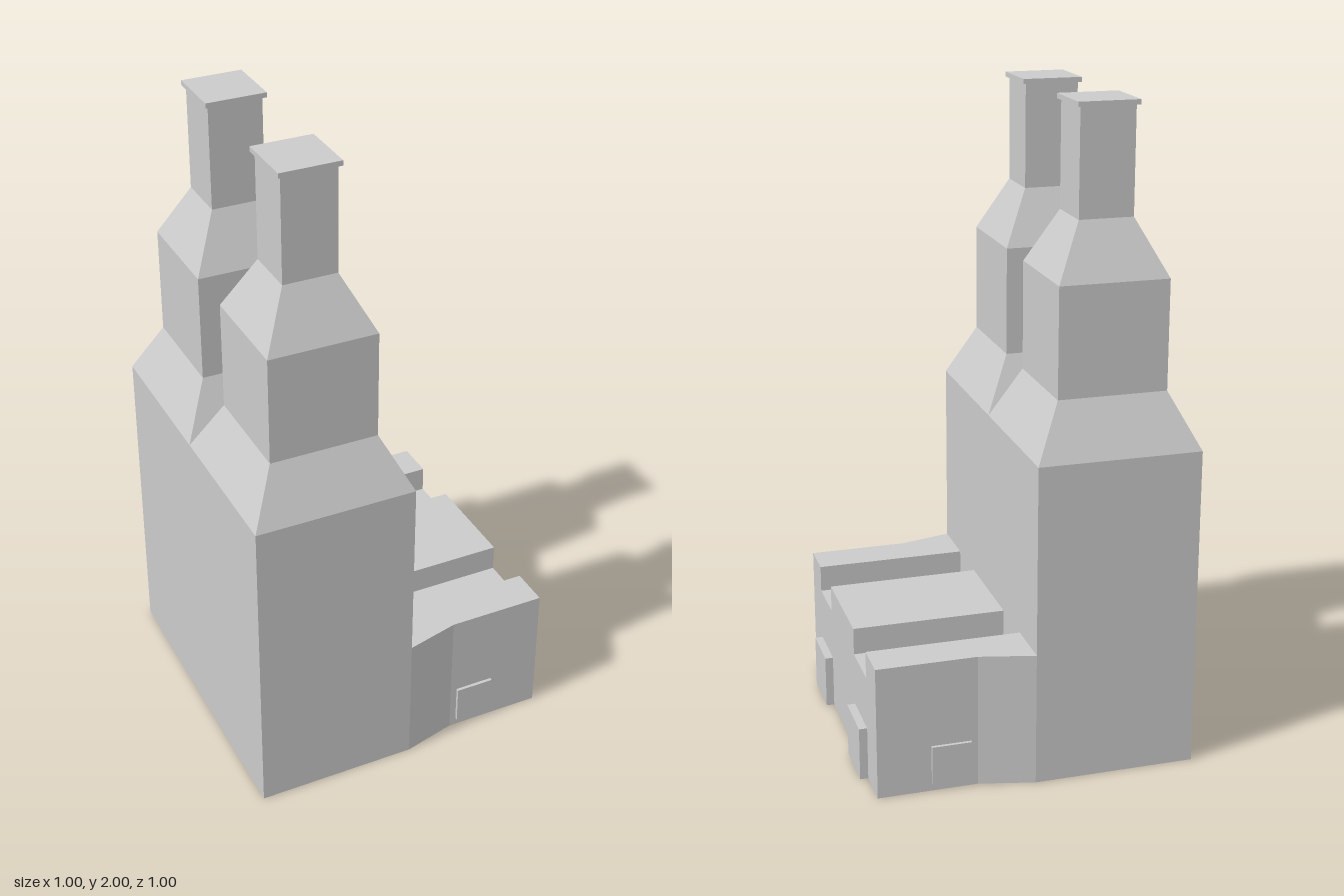
import * as THREE from 'three';

const material = new THREE.MeshStandardMaterial({ color: 0xcccccc, flatShading: true });

function add(parent, name, geometry, x = 0, y = 0, z = 0) {
  const mesh = new THREE.Mesh(geometry, material);
  mesh.name = name;
  mesh.position.set(x, y, z);
  parent.add(mesh);
  return mesh;
}

// Box given by its minimum and maximum corners
function addBox(parent, name, [x0, y0, z0], [x1, y1, z1]) {
  return add(parent, name, new THREE.BoxGeometry(x1 - x0, y1 - y0, z1 - z0),
    (x0 + x1) / 2, (y0 + y1) / 2, (z0 + z1) / 2);
}

// Square stepped shaft from [half width, height] pairs
function squareShaft(profile) {
  const points = profile.map(([half, y]) => new THREE.Vector2(half * Math.SQRT2, y));
  const geometry = new THREE.LatheGeometry(points, 4, Math.PI / 4).toNonIndexed();
  geometry.computeVertexNormals();
  return geometry;
}

// Annex: grooved roof section run along x, flaring out where it meets the towers
function annexGeometry() {
  const w = 0.458, top = 0.417, low = 0.333, g0 = 0.167, g1 = 0.333;
  const half = [[w, 0], [w, top], [g1, top], [g1, low], [g0, low], [g0, top]];
  const mirrored = half.map(([z, y]) => [-z, y]).reverse();
  const section = new THREE.Shape([...half, ...mirrored].map(([z, y]) => new THREE.Vector2(z, y)));
  const length = 0.475;
  const geometry = new THREE.ExtrudeGeometry(section, { depth: length, steps: 2, bevelEnabled: false });
  geometry.rotateY(Math.PI / 2);
  const p = geometry.attributes.position;
  for (let i = 0; i < p.count; i++) {
    const x = p.getX(i), z = p.getZ(i);
    if (x < 0.01 && Math.abs(z) > 0.4) p.setZ(i, Math.sign(z) * 0.5);
    if (Math.abs(x - length / 2) < 0.01) p.setX(i, 0.167);
  }
  geometry.computeVertexNormals();
  return geometry;
}

export function createModel() {
  const model = new THREE.Group();
  model.name = 'twinTowerBuilding';

  // Shared block under both towers
  addBox(model, 'towerBase', [-0.5, 0, -0.5], [0, 1, 0.5]);

  // Low annex
  add(model, 'annex', annexGeometry());

  const shaft = squareShaft([[0.25, 1], [0.167, 1.167], [0.167, 1.5], [0.083, 1.667], [0.083, 1.985]]);
  for (const side of [1, -1]) {
    const name = side > 0 ? 'front' : 'rear';

    // Stepped tower with its cap
    const tower = new THREE.Group();
    tower.name = name + 'Tower';
    tower.position.set(-0.25, 0, side * 0.25);
    add(tower, 'shaft', shaft);
    addBox(tower, 'cap', [-0.093, 1.985, -0.093], [0.093, 2, 0.093]);
    model.add(tower);

    // Door on the annex end wall
    add(model, name + 'EndDoor', new THREE.BoxGeometry(0.04, 0.167, 0.166), 0.48, 0.0835, side * 0.25);

    // Hatch on the annex side wall
    add(model, name + 'SideHatch', new THREE.BoxGeometry(0.122, 0.122, 0.03), 0.249, 0.086, side * 0.453);
  }
  return model;
}
